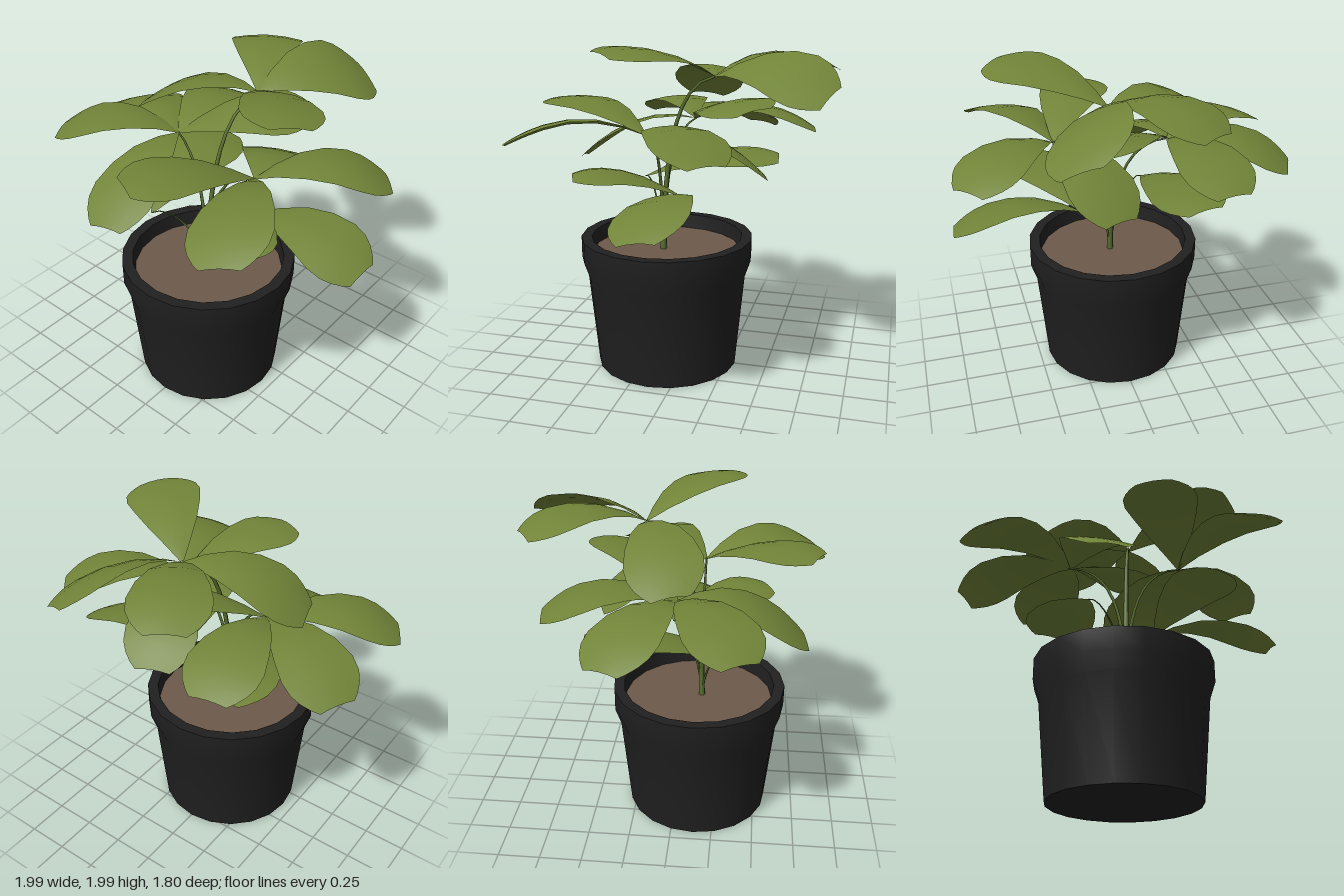
import * as THREE from 'three';
import { toCreasedNormals } from 'three/addons/utils/BufferGeometryUtils.js';

const makeMaterial = (name, color, side = THREE.FrontSide) =>
  Object.assign(new THREE.MeshStandardMaterial({ color, side }), { name });
const potBlack = makeMaterial('potBlack', 0x202020);
const soilBrown = makeMaterial('soilBrown', 0x6d5a4a);
const stemGreen = makeMaterial('stemGreen', 0x5a7030);
const leafGreen = makeMaterial('leafGreen', 0x718438, THREE.DoubleSide);

const POT_Z = 0.135;
const ROOT = new THREE.Vector3(0.01, 0.73, 0.155);
const LEAF_HALF_WIDTH = 0.215;

// Obovate leaf from base to tip: arched lengthwise, domed across, rolled about its spine
function leafGeometry(base, tip, roll = 0) {
  const along = tip.clone().sub(base);
  const side = new THREE.Vector3(-along.z, 0, along.x).normalize();
  side.y = roll;
  const arch = along.y > 0.1 ? 0.075 : 0.115;
  const outline = new THREE.SplineCurve([
    new THREE.Vector2(0, 0.03), new THREE.Vector2(0.35, 0.64), new THREE.Vector2(0.72, 1),
    new THREE.Vector2(0.9, 0.83), new THREE.Vector2(1, 0.48),
  ]);
  const rows = 8, columns = 4;
  const geometry = new THREE.PlaneGeometry(1, 1, columns, rows);
  const pos = geometry.attributes.position, v = new THREE.Vector3();
  for (let i = 0; i < pos.count; i++) {
    const s = pos.getX(i) * 2;
    const { x: t, y: share } = outline.getPoint(pos.getY(i) + 0.5);
    v.copy(base).addScaledVector(along, t).addScaledVector(side, s * share * LEAF_HALF_WIDTH);
    v.y += arch * 4 * t * (1 - t) - 0.025 * s * s * share;
    pos.setXYZ(i, v.x, v.y, v.z);
  }
  geometry.computeVertexNormals();
  return geometry;
}

// Stem that rises from the root, bends outward and thins; bend is a share of its reach and height
function stemGeometry(end, radius, bend) {
  const reach = end.clone().sub(ROOT);
  const at = (out, up) => new THREE.Vector3(out, up, out).multiply(reach).add(ROOT);
  const curve = new THREE.CubicBezierCurve3(ROOT, at(0.04, 0.5), at(...bend), end);
  const rings = 12, sides = 6;
  const geometry = new THREE.TubeGeometry(curve, rings, radius, sides);
  const pos = geometry.attributes.position, v = new THREE.Vector3();
  for (let k = 0; k < pos.count; k++) {
    const t = Math.floor(k / (sides + 1)) / rings;
    const centre = curve.getPointAt(t);
    v.fromBufferAttribute(pos, k).sub(centre).multiplyScalar(1 - 0.6 * t).add(centre);
    pos.setXYZ(k, v.x, v.y, v.z);
  }
  return geometry;
}

const UPRIGHT = [0.2, 0.95], DROOPING = [0.6, 1.2];

// Leaves are listed as tip x, y, z and an optional roll
const BRANCHES = [
  {
    name: 'topBranch', end: [0.105, 1.81, -0.185], radius: 0.02, bend: UPRIGHT,
    leaves: [[-0.28, 1.84, -0.81], [0.41, 1.76, -0.86, -0.45], [0.66, 1.97, 0.29, 0.12], [-0.57, 1.63, 0.02, -0.12]],
  },
  {
    name: 'rightBranch', end: [0.35, 1.5, 0.15], radius: 0.014, bend: UPRIGHT,
    leaves: [[0.9, 1.47, -0.33], [0.03, 1.65, 0.81], [0.68, 1.48, 0.85, -0.2], [0.11, 1.26, -0.48]],
  },
  {
    name: 'leftBranch', end: [-0.31, 1.5, 0.03], radius: 0.014, bend: UPRIGHT,
    leaves: [[-0.95, 1.39, -0.29, -0.06], [-0.95, 1.46, 0.39], [-0.44, 1.45, -0.7],
      [-0.21, 1.25, 0.75, -0.1], [0.29, 1.65, -0.44, -0.18]],
  },
  {
    name: 'lowRightBranch', end: [0.23, 1.12, -0.04], radius: 0.008, bend: DROOPING,
    leaves: [[0.98, 1.08, 0.01, -0.16], [0.49, 1.28, 0.54]],
  },
  {
    name: 'lowLeftBranch', end: [-0.25, 1.12, 0.35], radius: 0.008, bend: DROOPING,
    leaves: [[-0.37, 1.27, -0.49, -0.1]],
  },
];

export function createModel() {
  const model = new THREE.Group();
  model.name = 'pottedPlant';
  const add = (parent, name, geometry, material) => {
    const mesh = new THREE.Mesh(geometry, material);
    mesh.name = name;
    parent.add(mesh);
    return mesh;
  };

  // Tapered pot with a thick collar and open top
  const profile = [[0, 0], [0.437, 0], [0.492, 0.59], [0.526, 0.69], [0.526, 0.82], [0.462, 0.82], [0.448, 0.7]];
  const potShape = new THREE.LatheGeometry(profile.map(p => new THREE.Vector2(...p)), 20);
  add(model, 'pot', toCreasedNormals(potShape, 0.7), potBlack).position.z = POT_Z;

  // Soil disc
  const soil = add(model, 'soil', new THREE.CircleGeometry(0.455, 20), soilBrown);
  soil.rotation.x = -Math.PI / 2;
  soil.position.set(0, ROOT.y, POT_Z);

  // Branches with their leaves
  for (const { name, end, radius, bend, leaves } of BRANCHES) {
    const branch = new THREE.Group();
    branch.name = name;
    model.add(branch);
    const stemEnd = new THREE.Vector3(...end);
    add(branch, 'stem', stemGeometry(stemEnd, radius, bend), stemGreen);
    for (const [x, y, z, roll] of leaves) {
      add(branch, 'leaf', leafGeometry(stemEnd, new THREE.Vector3(x, y, z), roll), leafGreen);
    }
  }
  return model;
}
